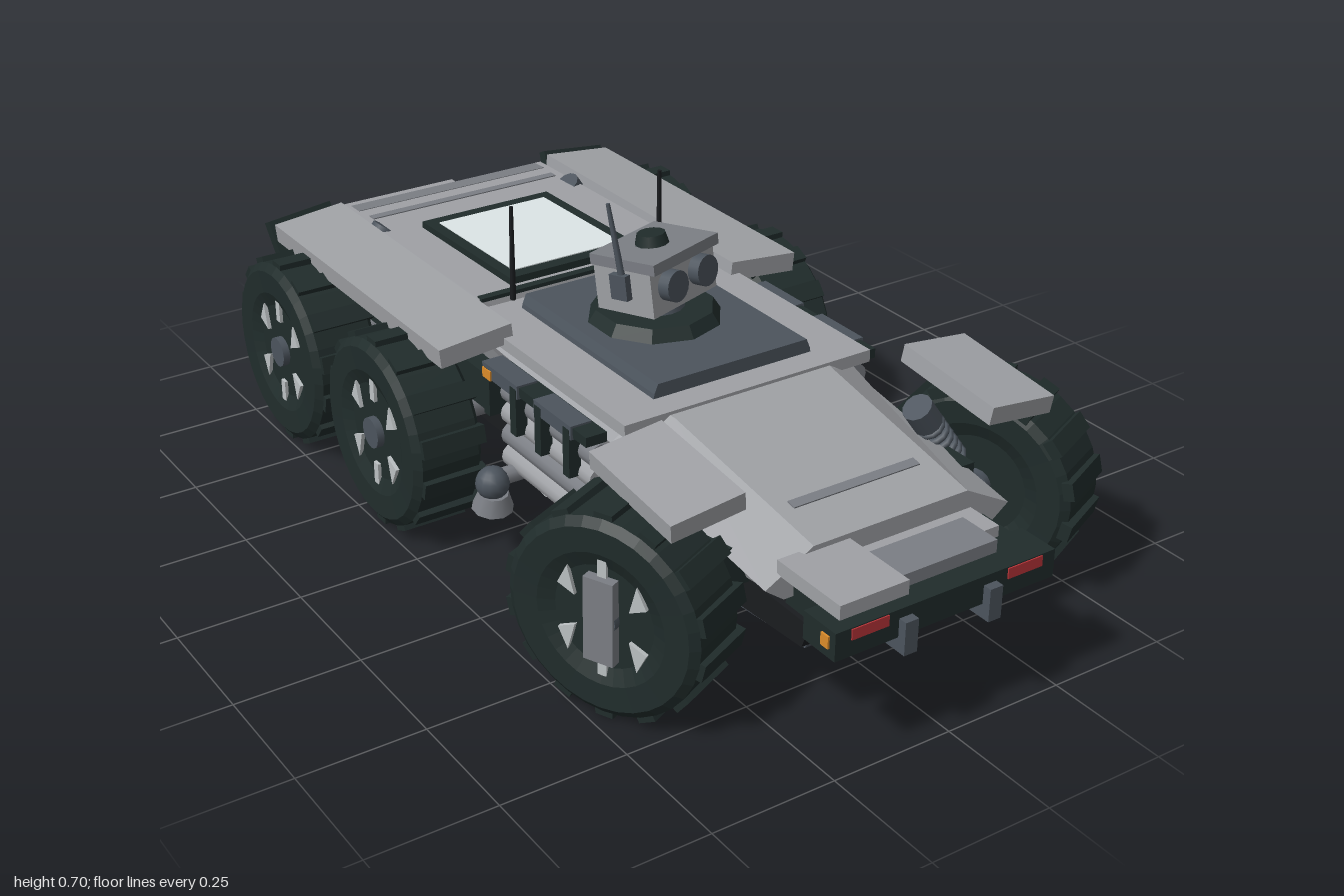
import * as THREE from 'three';

const mat = (name, color) => { const m = new THREE.MeshStandardMaterial({ color }); m.name = name; return m; };
const M = {
  gray: mat('hull gray', 0x9fa1a5), slate: mat('slate', 0x4c545d), dark: mat('dark green', 0x202c2b),
  black: mat('underside black', 0x1a1c1f), light: mat('light gray', 0xbcc1c3), glass: mat('panel glass', 0xe2eaec),
  red: mat('red lamp', 0xb83438), orange: mat('orange lamp', 0xdc8c2a), green: mat('green plate', 0x4ee08c),
  mid: mat('mid gray', 0x7b7e84),
};

// Splits shared corners so every face is flat
function flat(geo) {
  const g = geo.index ? geo.toNonIndexed() : geo;
  g.computeVertexNormals();
  return g;
}
function add(parent, name, geo, material, p = [0, 0, 0], r = [0, 0, 0]) {
  const m = new THREE.Mesh(geo, material);
  m.name = name;
  m.position.set(...p);
  m.rotation.set(...r);
  parent.add(m);
  return m;
}
const box = (parent, name, material, size, p, r) => add(parent, name, new THREE.BoxGeometry(...size), material, p, r);
const cyl = (parent, name, material, [rt, rb, h, n = 16], p, r) => add(parent, name, new THREE.CylinderGeometry(rt, rb, h, n), material, p, r);

// Six-sided hull from sections: z, top half-width, top y, waist half-width, waist y, floor half-width, floor y
function loft(sections) {
  const rings = sections.map(([z, tw, ty, mw, my, bw, by]) =>
    [[bw, by, z], [mw, my, z], [tw, ty, z], [-tw, ty, z], [-mw, my, z], [-bw, by, z]]);
  const v = [];
  for (let i = 0; i < rings.length - 1; i++) for (let j = 0; j < 6; j++) {
    const k = (j + 1) % 6, a = rings[i][j], b = rings[i][k], c = rings[i + 1][k], d = rings[i + 1][j];
    v.push(...a, ...b, ...c, ...a, ...c, ...d);
  }
  const s = rings[0], e = rings[rings.length - 1];
  for (let j = 1; j < 5; j++) v.push(...e[0], ...e[j], ...e[j + 1], ...s[0], ...s[j + 1], ...s[j]);
  const g = new THREE.BufferGeometry();
  g.setAttribute('position', new THREE.Float32BufferAttribute(v, 3));
  return flat(g);
}
// Side profile of (z, y) points, extruded across x
function slab(points, width) {
  const shape = new THREE.Shape(points.map(([z, y]) => new THREE.Vector2(-z, y)));
  return new THREE.ExtrudeGeometry(shape, { depth: width, bevelEnabled: false }).translate(0, 0, -width / 2).rotateY(Math.PI / 2);
}

// Wheel with its outer face towards +x
function wheel(name) {
  const g = new THREE.Group();
  g.name = name;
  const profile = [[0, -0.06], [0.1, -0.06], [0.13, -0.073], [0.176, -0.075], [0.192, -0.062],
    [0.194, 0.062], [0.178, 0.075], [0.13, 0.073], [0.1, 0.06], [0, 0.06]].map(p => new THREE.Vector2(...p));
  add(g, 'tyre', flat(new THREE.LatheGeometry(profile, 32)), M.dark, [0, 0, 0], [0, 0, -Math.PI / 2]);
  for (let i = 0; i < 14; i++) {
    const a = (i / 14) * Math.PI * 2;
    box(g, 'tread', M.dark, [0.136, 0.022, 0.036], [-0.006, Math.cos(a) * 0.193, Math.sin(a) * 0.193], [a, 0, 0]);
  }
  // Upright bars and four slanted wedges round the hub
  for (const s of [-1, 1]) {
    box(g, 'rimBar', M.light, [0.008, 0.05, 0.018], [0.063, s * 0.095, 0]);
    for (const t of [-1, 1]) {
      const wedge = new THREE.Shape([[0.055, 0.03], [0.09, 0.045], [0.07, 0.085]].map(([z, y]) => new THREE.Vector2(s * z, t * y)));
      const geo = new THREE.ExtrudeGeometry(wedge, { depth: 0.008, bevelEnabled: false }).rotateY(Math.PI / 2);
      add(g, 'rimWedge', geo, M.light, [0.06, 0, 0]);
    }
  }
  cyl(g, 'hub', M.slate, [0.032, 0.032, 0.15], [0, 0, 0], [0, 0, Math.PI / 2]);
  return g;
}

function hull(g) {
  add(g, 'hull', loft([
    [-0.76, 0.25, 0.425, 0.27, 0.37, 0.2, 0.2], [-0.165, 0.25, 0.435, 0.27, 0.38, 0.2, 0.2],
    [-0.16, 0.22, 0.414, 0.27, 0.375, 0.2, 0.2], [0.36, 0.19, 0.412, 0.28, 0.36, 0.2, 0.2],
    [0.42, 0.18, 0.408, 0.28, 0.34, 0.22, 0.2], [0.82, 0.17, 0.34, 0.27, 0.285, 0.23, 0.255]]), M.gray);
  box(g, 'frontDeck', M.gray, [0.56, 0.025, 0.57], [0, 0.403, 0.122]);
  add(g, 'belly', slab([[-0.6, 0.17], [-0.2, 0.135], [0.42, 0.15], [0.86, 0.178], [0.88, 0.23], [-0.6, 0.25]], 0.44), M.black);
  add(g, 'bellySkid', slab([[-0.6, 0.165], [-0.19, 0.127], [0.42, 0.127], [0.85, 0.165], [0.86, 0.18], [0.42, 0.165], [-0.6, 0.2]], 0.41), M.slate);
  box(g, 'bellyStep', M.slate, [0.54, 0.03, 0.36], [0, 0.17, 0.19]);
  // Tail
  add(g, 'tailSlope', slab([[-0.885, 0.335], [-0.885, 0.3], [-0.72, 0.3], [-0.72, 0.427], [-0.76, 0.425]], 0.47), M.mid);
  box(g, 'tailBox', M.dark, [0.48, 0.12, 0.2], [0, 0.277, -0.845]);
  add(g, 'tailFloor', slab([[-0.9, 0.217], [-0.6, 0.18], [-0.6, 0.25], [-0.9, 0.25]], 0.44), M.black);
  box(g, 'tailFrame', M.gray, [0.29, 0.09, 0.055], [0, 0.28, -0.9695]);
  box(g, 'tailPlate', M.green, [0.22, 0.062, 0.006], [0, 0.28, -0.996]);
  for (const s of [-1, 1]) {
    box(g, 'tailLamp', M.red, [0.07, 0.034, 0.008], [s * 0.193, 0.306, -0.945]);
    box(g, 'tailSignal', M.orange, [0.07, 0.024, 0.008], [s * 0.193, 0.267, -0.945]);
    box(g, 'tailSideSignal', M.orange, [0.008, 0.04, 0.018], [s * 0.24, 0.265, -0.934]);
    box(g, 'noseSideSignal', M.orange, [0.008, 0.024, 0.02], [s * 0.24 - 0.008, 0.258, 0.958]);
  }
  // Nose
  box(g, 'bumper', M.dark, [0.48, 0.055, 0.085], [-0.008, 0.255, 0.94]);
  add(g, 'noseUnderside', slab([[0.8, 0.2], [0.92, 0.235], [0.92, 0.28], [0.8, 0.28]], 0.42), M.dark);
  box(g, 'noseShelf', M.gray, [0.38, 0.024, 0.09], [-0.01, 0.291, 0.85]);
  box(g, 'noseStep', M.mid, [0.23, 0.028, 0.09], [0.025, 0.294, 0.89]);
  box(g, 'noseCase', M.gray, [0.145, 0.028, 0.17], [-0.165, 0.316, 0.893]);
  for (const x of [-0.176, 0.163]) box(g, 'frontLamp', M.red, [0.078, 0.021, 0.008], [x, 0.27, 0.981]);
  for (const x of [-0.1, 0.085]) box(g, 'towHook', M.slate, [0.028, 0.065, 0.05], [x, 0.232, 0.975]);
  box(g, 'noseSeam', M.mid, [0.28, 0.004, 0.02], [0, 0.3585, 0.715], [0.175, 0, 0]);
  // Deck details
  box(g, 'deckSeam', M.dark, [0.5, 0.008, 0.018], [0, 0.434, -0.165]);
  box(g, 'rearSeam', M.mid, [0.46, 0.008, 0.02], [0, 0.425, -0.67]);
  box(g, 'panelFrame', M.dark, [0.31, 0.016, 0.37], [-0.01, 0.438, -0.375], [-0.02, 0, 0]);
  box(g, 'panelGlass', M.glass, [0.26, 0.008, 0.31], [-0.01, 0.444, -0.375], [-0.02, 0, 0]);
  add(g, 'turretPlate', loft([[-0.12, 0.17, 0.444, 0.178, 0.425, 0.182, 0.405], [0.35, 0.17, 0.444, 0.178, 0.425, 0.182, 0.405]]), M.slate);
}

function sides(g) {
  for (const s of [-1, 1]) {
    // Mudguards and flaps
    box(g, 'rearMudguard', M.gray, [0.16, 0.04, 0.73], [s * 0.34, 0.415, -0.385], [0, 0, -s * 0.1]);
    box(g, 'frontMudguard', M.gray, [0.15, 0.036, 0.25], [s * 0.345, 0.434, 0.635], [0.1, 0, -s * 0.12]);
    const flap = new THREE.Group();
    flap.name = 'mudFlap';
    flap.position.set(s * 0.345, 0.388, -0.772);
    flap.rotation.set(-0.45, 0, -s * 0.1);
    box(flap, 'flapBoard', M.dark, [0.15, 0.085, 0.025], [0, 0, 0]);
    box(flap, 'flapLamp', s < 0 ? M.orange : M.light, [0.11, 0.026, 0.022], [0, 0.008, -0.016], [0.45, 0, 0]);
    g.add(flap);
    cyl(g, 'whipAerial', M.black, [0.004, 0.006, 0.2, 6], [s * 0.175 - 0.007, 0.523, -0.15]);
    // Dark panels between the wheels
    for (const z of [-0.385, 0.39]) box(g, 'sidePanel', M.dark, [0.07, 0.17, 0.13], [s * 0.24, 0.24, z]);
    // Tank rack between the wheels
    for (let i = 0; i < 4; i++)
      cyl(g, 'sideTank', i % 2 ? M.mid : M.gray, [0.025, 0.025, 0.32, 12], [s * 0.295, 0.19 + i * 0.047, 0.19], [Math.PI / 2, 0, 0]);
    box(g, 'rackRail', M.dark, [0.045, 0.02, 0.34], [s * 0.31, 0.375, 0.19]);
    for (const z of [0.06, 0.25]) {
      box(g, 'rackTop', M.slate, [0.045, 0.028, 0.13], [s * 0.315, 0.375, z]);
      for (const d of [-0.05, 0.05]) box(g, 'rackPost', M.dark, [0.025, 0.1, 0.022], [s * 0.326, 0.33, z + d]);
    }
    // Jacks: an outer lamp-shaped pad on an arm and a splayed inner foot
    for (const z of [0.07, 0.28]) {
      cyl(g, 'jackArm', M.mid, [0.018, 0.018, 0.16, 10], [s * 0.29, 0.172, z], [0, 0, Math.PI / 2]);
      add(g, 'jackBall', new THREE.SphereGeometry(0.034, 14, 10), M.slate, [s * 0.365, 0.165, z]);
      cyl(g, 'jackPad', M.mid, [0.03, 0.042, 0.035, 10], [s * 0.365, 0.128, z], [0.15, 0, 0]);
      cyl(g, 'jackLeg', M.slate, [0.018, 0.03, 0.06, 10], [s * 0.225, 0.145, z], [0, 0, s * 0.25]);
      cyl(g, 'jackFoot', M.light, [0.03, 0.042, 0.015, 10], [s * 0.214, 0.113, z], [0.1, 0, 0]);
    }
    box(g, 'sideSignal', M.orange, [0.008, 0.02, 0.03], [s * 0.337, 0.37, 0.015]);
    // Axles and shock absorbers
    for (const z of [-0.6, -0.17, 0.61]) {
      cyl(g, 'axle', M.mid, [0.027, 0.027, 0.2, 12], [s * 0.26, 0.205, z], [0, 0, Math.PI / 2]);
      box(g, 'axleArm', M.dark, [0.08, 0.08, 0.2], [s * 0.245, 0.27, z]);
    }
    for (const z of [-0.61, 0.61]) {
      const shock = new THREE.Group();
      shock.name = 'shockAbsorber';
      shock.position.set(s * 0.285, z < 0 ? 0.345 : 0.315, z);
      shock.rotation.z = s * 0.62;
      cyl(shock, 'shockRod', M.mid, [0.014, 0.014, 0.17, 10], [0, 0, 0]);
      for (let i = 0; i < 6; i++)
        add(shock, 'coil', new THREE.TorusGeometry(0.024, 0.007, 6, 12), M.slate, [0, -0.06 + i * 0.02, 0], [Math.PI / 2, 0, 0]);
      cyl(shock, 'shockCap', M.slate, [0.03, 0.03, 0.05, 12], [0, 0.075, 0]);
      g.add(shock);
    }
    // Wheels, the front pair steered the same way
    for (const [x, z, steer] of [[0.428, -0.6, 0], [0.428, -0.17, 0], [0.417, 0.61, 0.43]]) {
      const w = wheel(steer ? 'frontWheel' : 'rearWheel');
      w.position.set(s * x, 0.206, z);
      w.rotation.y = steer + (s < 0 ? Math.PI : 0);
      if (steer && s < 0) box(w, 'hubGuard', M.mid, [0.02, 0.165, 0.06], [0.07, 0, 0]);
      g.add(w);
    }
  }
}

function turret(g) {
  const t = new THREE.Group();
  t.name = 'sensorTurret';
  t.position.set(-0.01, 0, 0.1);
  add(t, 'turretBase', flat(new THREE.CylinderGeometry(0.118, 0.135, 0.026, 10)), M.dark, [0, 0.455, 0]);
  cyl(t, 'neck', M.slate, [0.05, 0.062, 0.04], [0, 0.48, 0]);
  const head = new THREE.Group();
  head.name = 'sensorHead';
  head.position.set(0, 0.541, 0);
  head.rotation.set(-0.12, 0.29, 0.02, 'YXZ');
  box(head, 'headCase', M.gray, [0.19, 0.095, 0.14], [0, -0.01, 0]);
  box(head, 'headRoof', M.mid, [0.194, 0.022, 0.16], [0, 0.043, 0.004]);
  for (const x of [-0.045, 0.045])
    cyl(head, 'eyeBarrel', M.slate, [0.031, 0.031, 0.04, 18], [x, -0.004, 0.075], [Math.PI / 2, 0, 0]);
  cyl(head, 'roofCap', M.dark, [0.028, 0.034, 0.022, 12], [0, 0.064, 0]);
  cyl(head, 'headAerial', M.slate, [0.004, 0.008, 0.18, 8], [-0.102, 0.078, 0], [-0.05, 0, 0.05]);
  box(head, 'aerialMount', M.slate, [0.02, 0.05, 0.04], [-0.1, 0, 0]);
  t.add(head);
  g.add(t);
}

export function createModel() {
  const g = new THREE.Group();
  g.name = 'sixWheelRover';
  hull(g);
  sides(g);
  turret(g);
  return g;
}
